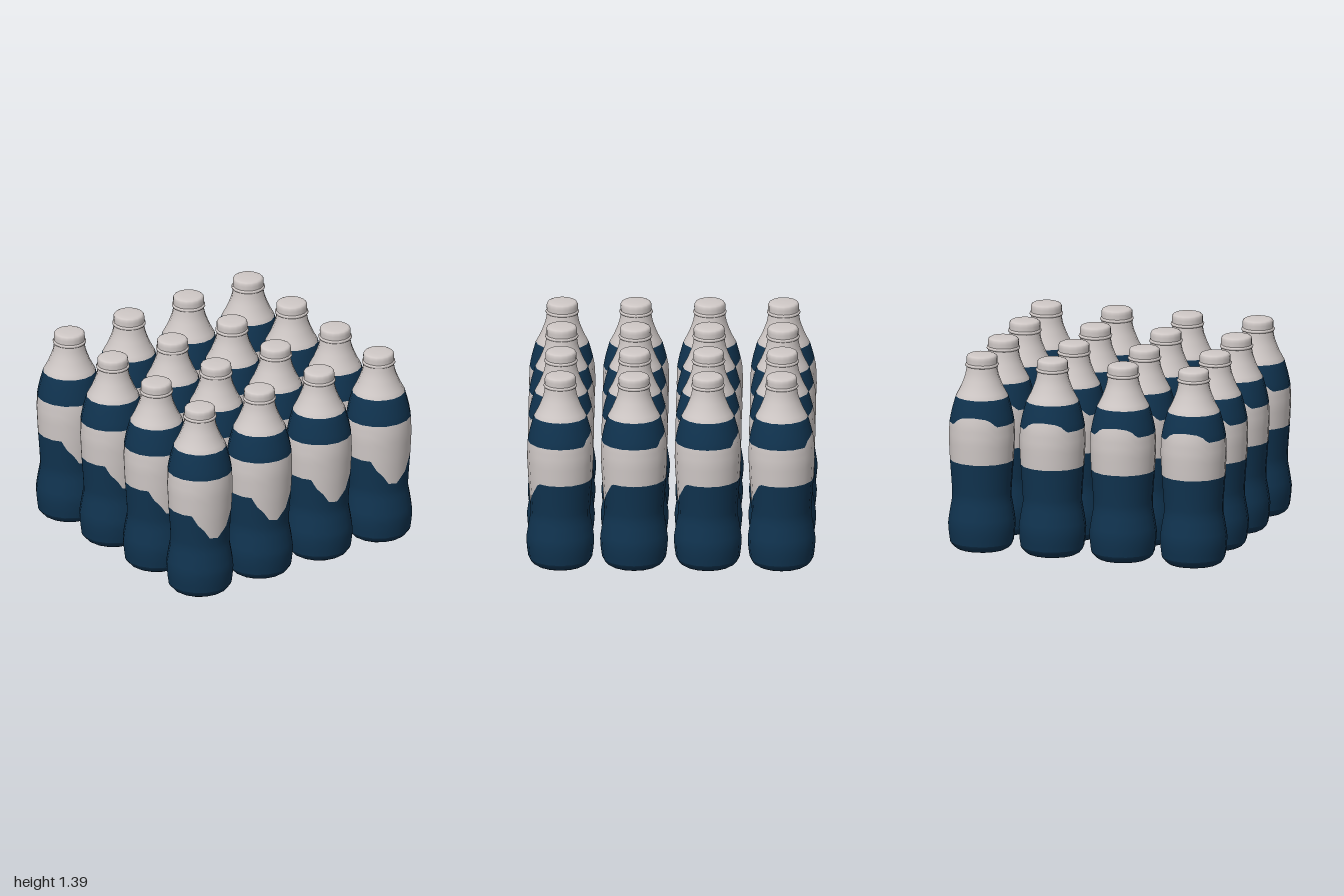
import * as THREE from 'three';

const SIDES = 16, STEPS = 64;

// Piecewise linear lookup in [key, value] pairs
function lookup(table, k) {
  if (k <= table[0][0]) return table[0][1];
  for (let i = 1; i < table.length; i++) {
    const [k0, v0] = table[i - 1], [k1, v1] = table[i];
    if (k <= k1) return v0 + (v1 - v0) * (k - k0) / (k1 - k0);
  }
  return table[table.length - 1][1];
}

// Bottle radius by height
const PROFILE = [[0.06, 0.221], [0.13, 0.231], [0.2, 0.235], [0.29, 0.221], [0.38, 0.205], [0.45, 0.208],
  [0.64, 0.222], [0.8, 0.23], [0.92, 0.225], [1.0, 0.208], [1.09, 0.183], [1.15, 0.151],
  [1.2, 0.13], [1.25, 0.113], [1.3, 0.106]];
const radius = y => lookup(PROFILE, y);

// Wavy label edges: a dip on the +x side, a bump on the -x side
const DIP = [[-0.74, 0.64], [-0.57, 0.58], [-0.35, 0.515], [-0.15, 0.48], [-0.02, 0.455],
  [0.3, 0.465], [0.44, 0.52], [0.66, 0.575], [0.76, 0.64]];
const BUMP = [[-0.69, 0.91], [-0.56, 0.945], [-0.4, 0.965], [0, 0.975], [0.4, 0.965], [0.56, 0.945], [0.69, 0.91]];
const labelBottom = a => Math.sin(a) > 0 ? lookup(DIP, Math.cos(a)) : 0.64;
const labelTop = a => Math.sin(a) < 0 ? lookup(BUMP, Math.cos(a)) : 0.91;

// Band of the bottle wall between two height functions of the angle
function band(low, high, rows) {
  const pos = [], nor = [], idx = [], sector = 2 * Math.PI / SIDES;
  for (let i = 0; i <= STEPS; i++) {
    const a = i / STEPS * 2 * Math.PI;
    const flat = Math.cos(sector / 2) / Math.cos(a % sector - sector / 2);
    for (let j = 0; j <= rows; j++) {
      const y = THREE.MathUtils.lerp(low(a), high(a), j / rows), r = radius(y) * flat;
      const y0 = Math.max(0.06, y - 0.03), y1 = Math.min(1.3, y + 0.03);
      const slope = (radius(y1) - radius(y0)) / (y1 - y0), len = Math.hypot(1, slope);
      pos.push(r * Math.sin(a), y, r * Math.cos(a));
      nor.push(Math.sin(a) / len, -slope / len, Math.cos(a) / len);
      if (i < STEPS && j < rows) {
        const p = i * (rows + 1) + j, q = p + rows + 1;
        idx.push(p, q, p + 1, q, q + 1, p + 1);
      }
    }
  }
  const g = new THREE.BufferGeometry();
  g.setAttribute('position', new THREE.Float32BufferAttribute(pos, 3));
  g.setAttribute('normal', new THREE.Float32BufferAttribute(nor, 3));
  g.setIndex(idx);
  return g;
}

const lathe = pts => new THREE.LatheGeometry(pts.map(p => new THREE.Vector2(...p)), SIDES);

export function createModel() {
  const white = new THREE.MeshStandardMaterial({ name: 'warm white', color: 0xcfc8c6 });
  const blue = new THREE.MeshStandardMaterial({ name: 'deep blue', color: 0x10334f });
  const level = y => () => y;

  // Parts shared by every bottle
  const parts = [
    ['base', lathe([[0, 0.005], [0.09, 0], [0.175, 0.01], [0.192, 0.02], [0.214, 0.045], [0.221, 0.06]]), blue],
    ['lowerBody', band(level(0.06), labelBottom, 13), blue],
    ['label', band(labelBottom, labelTop, 7), white],
    ['shoulderBand', band(labelTop, level(1.09), 4), blue],
    ['neck', band(level(1.09), level(1.3), 7), white],
    ['capRing', lathe([[0.106, 1.3], [0.114, 1.303], [0.117, 1.311], [0.114, 1.319], [0.107, 1.322]]), white],
    ['cap', lathe([[0.107, 1.322], [0.108, 1.35], [0.107, 1.368], [0.101, 1.378], [0.09, 1.384], [0.05, 1.387], [0, 1.388]]), white],
  ];

  // Four by four grid of bottles
  const model = new THREE.Group();
  model.name = 'bottles';
  for (let row = 0; row < 4; row++) {
    for (let col = 0; col < 4; col++) {
      const bottle = new THREE.Group();
      bottle.name = `bottle${row * 4 + col + 1}`;
      for (const [name, geometry, material] of parts) {
        const mesh = new THREE.Mesh(geometry, material);
        mesh.name = name;
        bottle.add(mesh);
      }
      bottle.position.set((col - 1.5) * 0.51, 0, (row - 1.5) * 0.51);
      model.add(bottle);
    }
  }
  return model;
}
